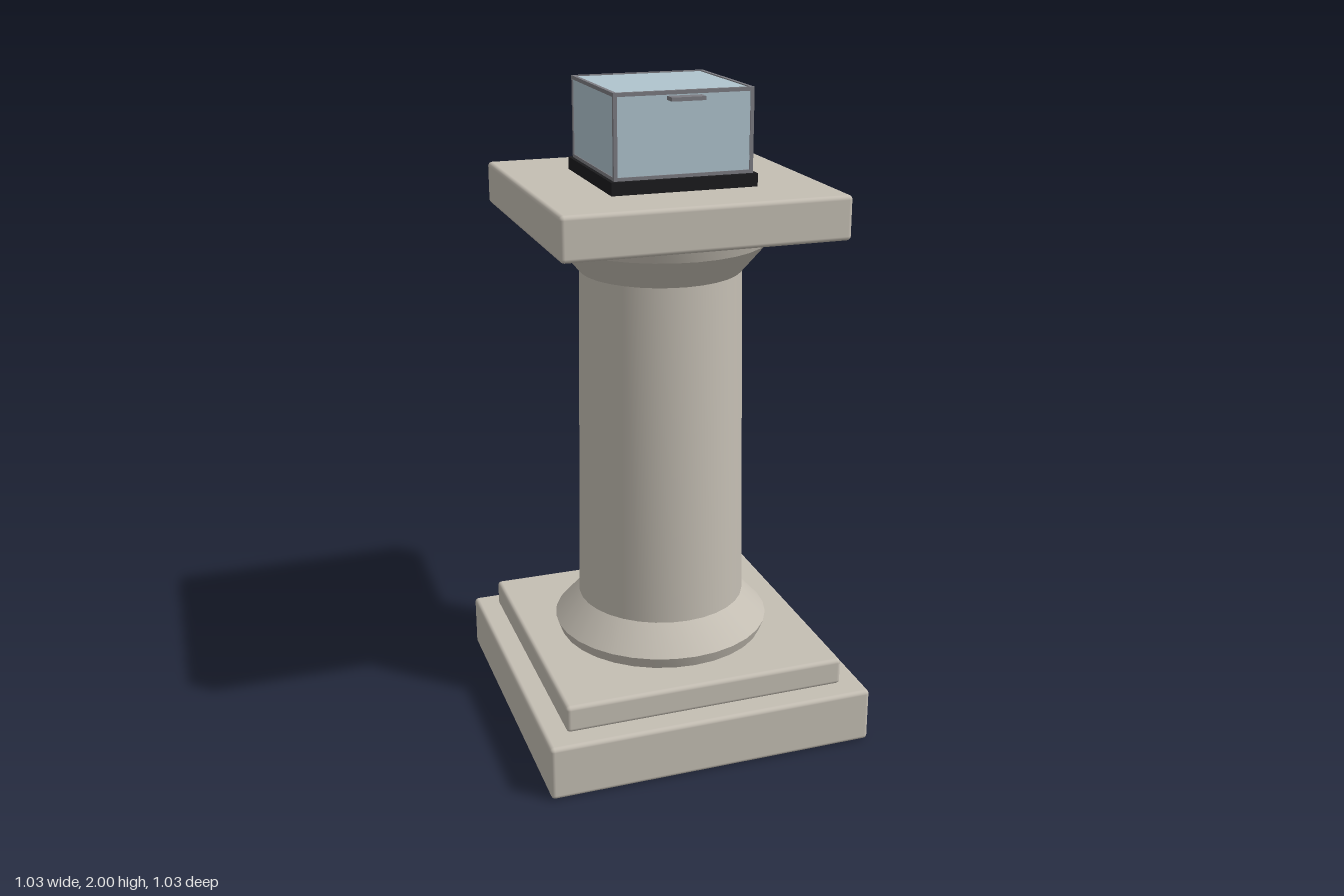
import * as THREE from 'three';
import { toCreasedNormals } from 'three/addons/utils/BufferGeometryUtils.js';
import { RoundedBoxGeometry } from 'three/addons/geometries/RoundedBoxGeometry.js';

const mat = (name, color) => {
  const m = new THREE.MeshStandardMaterial({ color });
  m.name = name;
  return m;
};

export function createModel() {
  const stone = mat('stone', 0xc4beb3);
  const glass = mat('glass', 0xafc4ce);
  const metal = mat('metal', 0x7c7c82);
  const black = mat('black', 0x1b1b1d);

  const model = new THREE.Group();
  model.name = 'pedestalWithCase';

  const add = (parent, name, geometry, material, x = 0, y = 0, z = 0) => {
    const mesh = new THREE.Mesh(geometry, material);
    mesh.name = name;
    mesh.position.set(x, y, z);
    parent.add(mesh);
    return mesh;
  };
  const box = (parent, name, w, h, d, material, x, y, z) =>
    add(parent, name, new THREE.BoxGeometry(w, h, d), material, x, y, z);

  // Square stone slabs with softened edges: name, width, bottom, top
  for (const [name, w, y0, y1] of [
    ['baseSlab', 1.026, 0, 0.172],
    ['stepSlab', 0.888, 0.172, 0.258],
    ['topSlab', 0.852, 1.588, 1.718],
  ]) {
    add(model, name, new RoundedBoxGeometry(w, y1 - y0, w, 3, 0.013), stone, 0, (y0 + y1) / 2, 0);
  }

  // Turned column: foot moulding, tapering shaft, flared capital
  const profile = [
    [0, 0.25], [0.325, 0.25], [0.342, 0.295], [0.264, 0.38],
    [0.247, 1.445], [0.325, 1.537], [0.344, 1.595], [0, 1.595],
  ].map(([r, y]) => new THREE.Vector2(r, y));
  add(model, 'column', toCreasedNormals(new THREE.LatheGeometry(profile, 32), 0.35), stone);

  // Display case
  const displayCase = new THREE.Group();
  displayCase.name = 'displayCase';
  model.add(displayCase);

  const bottom = 1.755, top = 2, half = 0.209, bar = 0.011;
  const height = top - bottom, mid = (top + bottom) / 2;
  box(displayCase, 'casePlinth', 0.44, 0.039, 0.44, black, 0, 1.7365, 0);
  box(displayCase, 'glassBox', 0.412, height - 0.006, 0.412, glass, 0, mid, 0);

  // Metal frame along the twelve edges
  const edge = half - bar / 2;
  for (const s of [-1, 1]) {
    for (const t of [-1, 1]) {
      box(displayCase, 'framePost', bar, height, bar, metal, s * edge, mid, t * edge);
      const y = mid + t * (height - bar) / 2;
      box(displayCase, 'frameRailX', 2 * (half - bar), bar, bar, metal, 0, y, s * edge);
      box(displayCase, 'frameRailZ', bar, bar, 2 * (half - bar), metal, s * edge, y, 0);
    }
    // Hinges at the back
    box(displayCase, 'hinge', 0.07, 0.016, 0.012, metal, s * 0.153, 1.76, -0.213);
  }

  // Lifting tab at the front
  box(displayCase, 'liftTab', 0.102, 0.011, 0.04, metal, 0, 1.98, 0.225);

  return model;
}
